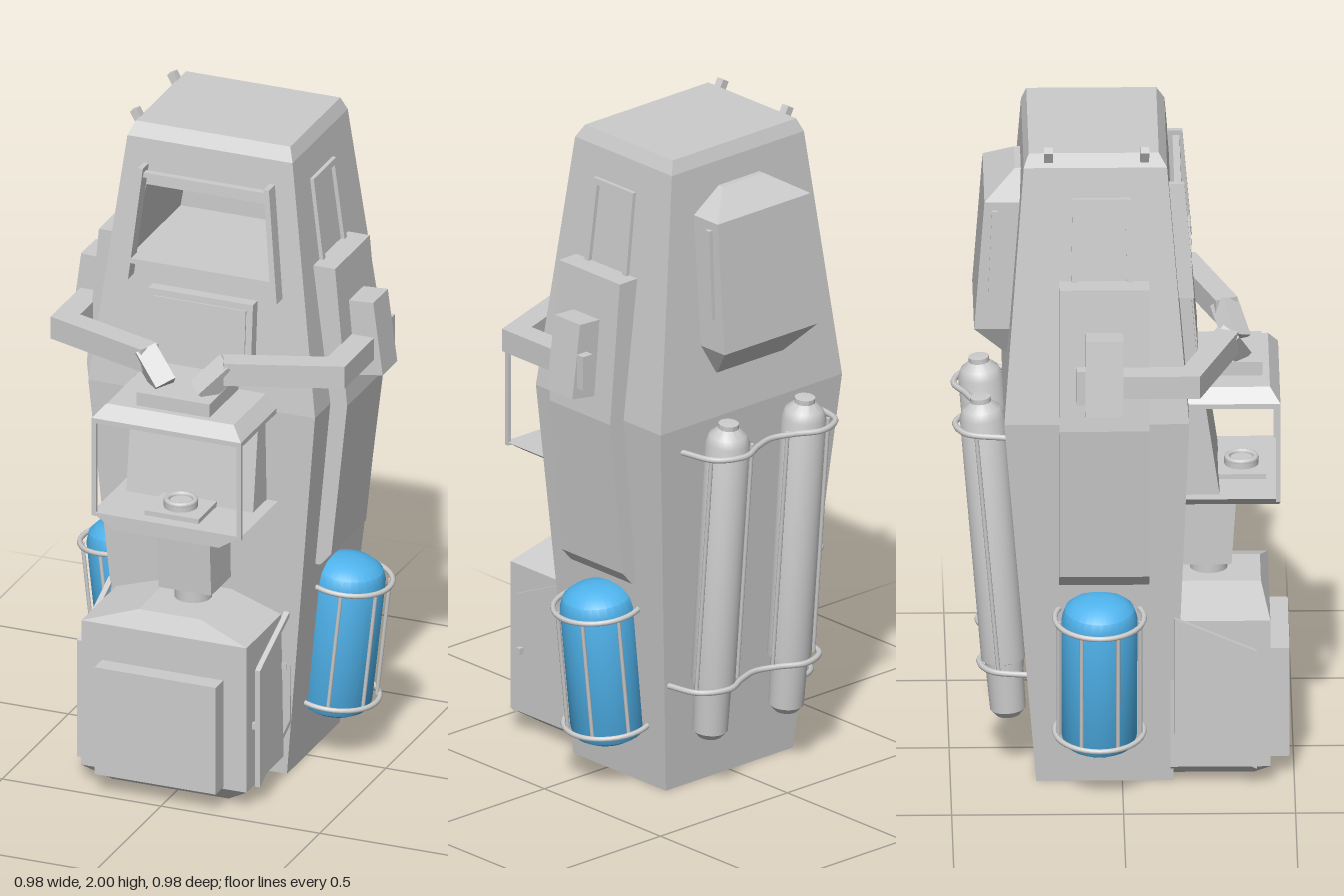
import * as THREE from 'three';
import { toCreasedNormals } from 'three/addons/utils/BufferGeometryUtils.js';

const grey = new THREE.MeshStandardMaterial({ color: 0xcccccc });
const blue = new THREE.MeshStandardMaterial({ color: 0x4fb3ec });
const V = (x, y, z) => new THREE.Vector3(x, y, z);

// Slanted planes of the upper hull
const frontZ = y => 0.193 - 0.063 * (y - 1.17) / 0.77;
const sideX = y => 0.357 - 0.097 * (y - 1.17) / 0.77;

// Flat-sided loft through rectangles [y, x0, x1, z0, z1]; openFront skips one front panel
function loft(rings, openFront = -1) {
  const pos = [];
  const quad = (a, b, c, d) => [a, b, c, a, c, d].forEach(p => pos.push(...p));
  const corners = rings.map(([y, x0, x1, z0, z1]) =>
    [[x0, y, z1], [x1, y, z1], [x1, y, z0], [x0, y, z0]]);
  for (let i = 0; i < corners.length - 1; i++) {
    const l = corners[i], u = corners[i + 1];
    for (let k = 0; k < 4; k++) {
      if (k === 0 && i === openFront) continue;
      const n = (k + 1) % 4;
      quad(l[k], l[n], u[n], u[k]);
    }
  }
  quad(...[...corners[0]].reverse());
  quad(...corners[corners.length - 1]);
  const g = new THREE.BufferGeometry();
  g.setAttribute('position', new THREE.Float32BufferAttribute(pos, 3));
  g.computeVertexNormals();
  return g;
}

// Outline from points, with an optional hole
function outline(pts, hole) {
  const s = new THREE.Shape(pts.map(p => new THREE.Vector2(...p)));
  if (hole) s.holes.push(new THREE.Path(hole.map(p => new THREE.Vector2(...p))));
  return s;
}

// Straight prism: points are (x,y) for axis z, (z,y) for axis x, (x,z) for axis y
function prism(axis, from, to, pts, hole) {
  const map = p => axis === 'x' ? [-p[0], p[1]] : axis === 'y' ? [p[0], -p[1]] : p;
  const g = new THREE.ExtrudeGeometry(outline(pts.map(map), hole && hole.map(map)),
    { depth: to - from, bevelEnabled: false });
  g.translate(0, 0, from);
  if (axis === 'x') g.rotateY(Math.PI / 2);
  if (axis === 'y') g.rotateX(-Math.PI / 2);
  return g;
}

// Move vertices onto a slanted plane
function lean(g, axis, rule) {
  const p = g.attributes.position;
  for (let i = 0; i < p.count; i++) {
    if (axis === 'z') p.setZ(i, p.getZ(i) + rule(p.getY(i)));
    else p.setX(i, p.getX(i) + rule(p.getY(i)));
  }
  g.computeVertexNormals();
  return g;
}

function box(x0, x1, y0, y1, z0, z1) {
  return new THREE.BoxGeometry(x1 - x0, y1 - y0, z1 - z0)
    .translate((x0 + x1) / 2, (y0 + y1) / 2, (z0 + z1) / 2);
}

// Box beam or round rod between two points
function between(g, a, b) {
  const d = b.clone().sub(a).normalize();
  const m = new THREE.Matrix4().makeRotationFromQuaternion(
    new THREE.Quaternion().setFromUnitVectors(V(0, 1, 0), d));
  const c = a.clone().add(b).multiplyScalar(0.5);
  return g.applyMatrix4(m).translate(c.x, c.y, c.z);
}
const rod = (a, b, r = 0.008) => between(new THREE.CylinderGeometry(r, r, a.distanceTo(b), 8), a, b);
const lathe = (pts, n = 28) => toCreasedNormals(
  new THREE.LatheGeometry(pts.map(p => new THREE.Vector2(...p)), n), 0.6);

// Mirror in x, keeping faces outward
function mirrored(geo) {
  const g = geo.index ? geo.toNonIndexed() : geo.clone();
  g.scale(-1, 1, 1);
  for (const a of [g.attributes.position, g.attributes.normal]) {
    for (let i = 0; i < a.count; i += 3) {
      const b = V().fromBufferAttribute(a, i + 1), c = V().fromBufferAttribute(a, i + 2);
      a.setXYZ(i + 1, c.x, c.y, c.z);
      a.setXYZ(i + 2, b.x, b.y, b.z);
    }
  }
  return g;
}

export function createModel() {
  const root = new THREE.Group();
  const add = (name, g, mat = grey) => {
    const m = new THREE.Mesh(g, mat);
    m.name = name;
    root.add(m);
  };
  const both = (name, g, mat) => { add(name + 'Left', g, mat); add(name + 'Right', mirrored(g), mat); };

  // Hull with an open front window and a cabin behind it
  add('hull', loft([[0, -0.25, 0.25, -0.25, 0.148], [1.17, -0.357, 0.357, -0.345, 0.193],
    [1.94, -0.26, 0.26, -0.287, 0.13], [1.98, -0.243, 0.243, -0.272, 0.106]], 1));
  const windowHole = [[-0.23, 1.585], [0.23, 1.585], [0.195, 1.8], [-0.195, 1.8]];
  add('hullFront', lean(new THREE.ShapeGeometry(outline(
    [[-0.357, 1.17], [0.357, 1.17], [0.26, 1.94], [-0.26, 1.94]], windowHole)), 'z', frontZ));
  add('cabin', loft([[1.8, -0.195, 0.195, -0.2, frontZ(1.8)],
    [1.585, -0.23, 0.23, -0.2, frontZ(1.585)]], 0));

  // Window bars and front screen
  both('windowPost', lean(prism('z', 0, 0.045,
    [[0.225, 1.52], [0.243, 1.52], [0.207, 1.865], [0.19, 1.865]]), 'z', frontZ));
  add('windowTopBar', lean(box(-0.2, 0.2, 1.835, 1.85, 0.015, 0.035), 'z', frontZ));
  add('windowSill', lean(box(-0.23, 0.23, 1.57, 1.585, 0, 0.045), 'z', frontZ));
  add('frontScreen', lean(box(-0.165, 0.165, 1.28, 1.5, -0.01, 0.035), 'z', frontZ));
  add('screenPanel', lean(box(-0.145, 0.145, 1.3, 1.48, 0.03, 0.04), 'z', frontZ));

  // Side windows and side armour
  both('sideWindowFrame', lean(prism('x', -0.01, 0.012,
    [[0.03, 1.58], [-0.15, 1.58], [-0.145, 1.85], [0.025, 1.85]],
    [[0.012, 1.6], [-0.132, 1.6], [-0.128, 1.832], [0.008, 1.832]]), 'x', sideX));
  both('sideArmour', prism('z', -0.185, 0.077,
    [[0.28, 1.6], [0.372, 1.6], [0.41, 1.17], [0.36, 0.69], [0.325, 0.65], [0.28, 0.65]]));

  // Roof hinges
  for (const z of [-0.215, 0.065]) {
    add('roofHinge', new THREE.BoxGeometry(0.024, 0.055, 0.026).rotateZ(0.5).translate(-0.25, 1.972, z));
  }

  // Shoulders, arms and hands
  both('shoulder', prism('z', -0.11, 0, [[0.37, 1.47], [0.46, 1.475], [0.49, 1.25], [0.39, 1.235]]));
  both('shoulderKnob', box(0.435, 0.472, 1.28, 1.385, -0.137, -0.1));
  both('arm', prism('y', 1.295, 1.365,
    [[0.39, -0.05], [0.463, -0.05], [0.463, 0.223], [0.13, 0.34], [0.1, 0.277], [0.39, 0.175]]));
  both('hand', between(new THREE.BoxGeometry(0.055, 0.12, 0.065), V(0.128, 1.34, 0.304), V(0.062, 1.27, 0.335)));

  // Work station: roof, posts, tray and console
  add('stationPlate', box(-0.115, 0.115, 1.22, 1.262, 0.18, 0.41));
  add('stationRoof', loft([[1.165, -0.235, 0.235, 0.18, 0.46], [1.18, -0.235, 0.235, 0.18, 0.46],
    [1.22, -0.2, 0.2, 0.18, 0.43]]));
  both('stationPost', box(0.222, 0.235, 0.87, 1.18, 0.447, 0.46));
  both('roofKnob', new THREE.CylinderGeometry(0.028, 0.022, 0.025, 14).translate(0.07, 1.153, 0.32));
  add('tray', loft([[0.835, -0.165, 0.165, 0.17, 0.46], [0.88, -0.235, 0.235, 0.17, 0.46]]));
  add('console', prism('x', -0.2, 0.2, [[0.16, 0.87], [0.285, 0.87], [0.24, 1.18], [0.16, 1.18]]));
  add('dialBase', box(-0.085, 0.085, 0.878, 0.895, 0.28, 0.42));
  add('dial', new THREE.CylinderGeometry(0.05, 0.05, 0.02, 20).translate(0, 0.903, 0.35));
  add('dialRing', new THREE.TorusGeometry(0.042, 0.009, 8, 20).rotateX(Math.PI / 2).translate(0, 0.914, 0.35));
  add('column', loft([[0.61, -0.083, 0.083, 0.14, 0.32], [0.84, -0.083, 0.083, 0.14, 0.335]]));
  add('columnFoot', new THREE.CylinderGeometry(0.055, 0.055, 0.08, 18).translate(0, 0.58, 0.255));

  // Lower front unit with its cover and side guards
  add('lowerUnit', loft([[0.005, -0.2, 0.165, 0.14, 0.385], [0.055, -0.28, 0.24, 0.14, 0.43],
    [0.515, -0.28, 0.24, 0.14, 0.43], [0.57, -0.11, 0.085, 0.17, 0.405]]));
  add('lowerCover', box(-0.215, 0.167, 0.06, 0.4, 0.42, 0.487));
  const guard = [[0.39, 0.06], [0.39, 0.43], [0.15, 0.535], [0.15, 0.17]];
  const guardHole = [[0.375, 0.085], [0.375, 0.42], [0.165, 0.512], [0.165, 0.18]];
  for (const x of [-0.31, 0.25]) {
    add('sideGuard', prism('x', x, x + 0.016, guard, guardHole));
    for (const [y, z] of [[0.25, 0.382], [0.35, 0.158]]) {
      add('guardMount', box(x < 0 ? x + 0.01 : 0.23, x < 0 ? -0.27 : x + 0.005, y - 0.01, y + 0.01, z - 0.007, z + 0.007));
    }
  }

  // Side tanks in tilted cradles
  const tilt = g => g.rotateZ(-0.11).translate(0.333, 0.375, -0.068);
  both('tank', tilt(lathe([[0, -0.245], [0.075, -0.24], [0.1, -0.225], [0.11, -0.2], [0.11, 0.185],
    [0.1, 0.215], [0.075, 0.235], [0.04, 0.245], [0, 0.248]])), blue);
  for (const y of [-0.19, 0.185]) {
    both('tankRing', tilt(new THREE.TorusGeometry(0.13, 0.008, 8, 36).rotateX(Math.PI / 2).translate(0, y, 0)));
  }
  for (const a of [-1.35, -0.45, 0.45, 1.35]) {
    const x = 0.122 * Math.cos(a), z = 0.122 * Math.sin(a);
    both('tankRod', tilt(rod(V(x, -0.19, z), V(x, 0.185, z), 0.006)));
  }

  // Back cylinders
  both('backCylinder', lathe([[0, -0.495], [0.035, -0.495], [0.052, -0.475], [0.055, -0.32], [0.065, -0.315],
    [0.065, 0.45], [0.055, 0.475], [0.03, 0.495], [0.03, 0.51], [0, 0.512]])
    .rotateX(-0.082).translate(0.15, 0.665, -0.37));

  // Wavy straps around the back cylinders
  for (const [y, dz] of [[1.09, 0], [0.34, 0.07]]) {
    const half = [[0.265, -0.335], [0.235, -0.45], [0.15, -0.485], [0.07, -0.45]];
    const pts = [...half, [0, -0.43], ...half.slice().reverse().map(([x, z]) => [-x, z])];
    const curve = new THREE.CatmullRomCurve3(pts.map(([x, z]) => V(x, y, z + dz)));
    add('backStrap', new THREE.TubeGeometry(curve, 60, 0.009, 8));
  }
  // Rails beside each cylinder
  for (const x of [0.07, 0.23]) both('backRail', rod(V(x, 0.34, -0.36), V(x, 1.09, -0.425), 0.006));

  // Back pack with side slots
  add('backPack', loft([[1.305, -0.13, 0.13, -0.34, -0.28], [1.4, -0.183, 0.183, -0.43, -0.28],
    [1.8, -0.183, 0.183, -0.4, -0.25], [1.865, -0.08, 0.08, -0.31, -0.25]]));
  both('packSlot', prism('x', 0.175, 0.196, [[-0.372, 1.5], [-0.39, 1.5], [-0.378, 1.775], [-0.36, 1.775]]));

  return root;
}
